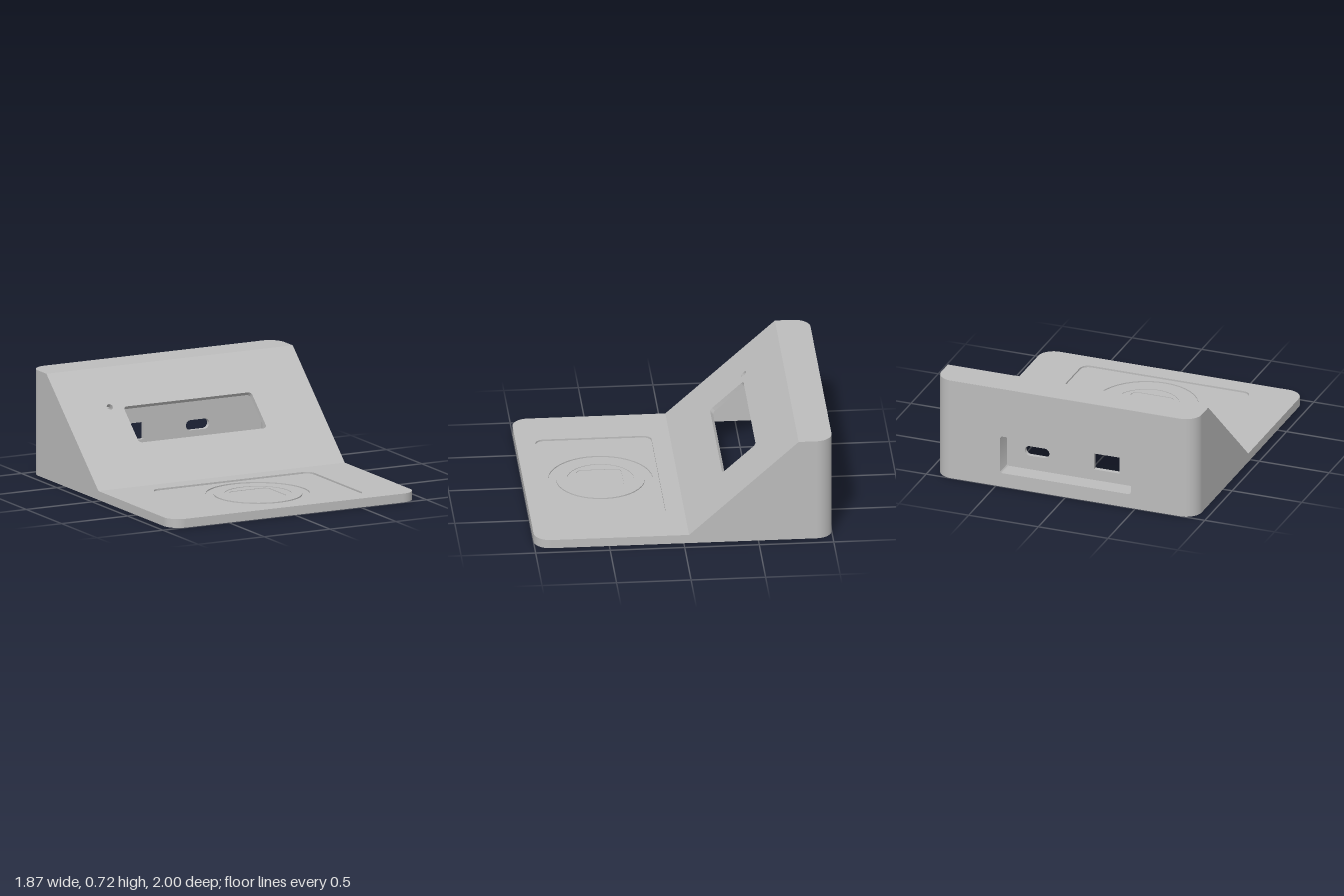
import * as THREE from 'three';
import { toCreasedNormals } from 'three/addons/utils/BufferGeometryUtils.js';

const W = 0.935, D = 1, R = 0.11, T = 0.03;      // half width, half depth, corner radius, wall
const DECK = 0.06, TOP = 0.72, FOLD = -0.035, RIDGE = -0.77;
const E = 0.001;                                  // keeps panels just inside the outer wall

// Rounded rectangle; rLow and rHigh are the radii of the lower and upper corners
function rect(x0, y0, x1, y1, rLow = 0, rHigh = rLow, Type = THREE.Shape) {
  const s = new Type();
  const corner = (x, y, r, a) => (r > 0 ? s.absarc(x, y, r, a, a + Math.PI / 2) : s.lineTo(x, y));
  s.moveTo(x0 + rLow, y0);
  corner(x1 - rLow, y0 + rLow, rLow, -Math.PI / 2);
  corner(x1 - rHigh, y1 - rHigh, rHigh, 0);
  corner(x0 + rHigh, y1 - rHigh, rHigh, Math.PI / 2);
  corner(x0 + rLow, y0 + rLow, rLow, Math.PI);
  s.closePath();
  return s;
}
const circle = (x, y, r, Type = THREE.Shape) => {
  const s = new Type();
  s.absarc(x, y, r, 0, Math.PI * 2);
  return s;
};
const withHoles = (shape, ...holes) => {
  shape.holes.push(...holes);
  return shape;
};
const extrude = (shape, depth) => toCreasedNormals(
  new THREE.ExtrudeGeometry(shape, { depth, bevelEnabled: false, curveSegments: 20 }), 0.5);

// Side and front wall: outer skin, inner skin and bottom rim swept round the outline
function wallGeometry() {
  const outline = [];
  const centres = [[1, -1], [1, 1], [-1, 1], [-1, -1]];
  centres.forEach(([sx, sz], k) => {
    for (let i = 0; i <= 12; i++) {
      const a = (k - 1 + i / 12) * Math.PI / 2;
      const nx = Math.cos(a), nz = Math.sin(a);
      outline.push([sx * (W - R) + nx * R, sz * (D - R) + nz * R, nx, nz]);
    }
    // Break the straight sides where the height changes
    if (k === 0) outline.push([W, RIDGE, 1, 0], [W, FOLD, 1, 0]);
    if (k === 2) outline.push([-W, FOLD, -1, 0], [-W, RIDGE, -1, 0]);
  });
  const height = z => THREE.MathUtils.clamp(
    DECK + (FOLD - z) / (FOLD - RIDGE) * (TOP - DECK), DECK, TOP);
  const pos = [], nor = [], idx = [];
  const strip = (rowA, rowB, normal) => {
    const base = pos.length / 3;
    outline.forEach((p, i) => {
      pos.push(...rowA(p), ...rowB(p));
      nor.push(...normal(p), ...normal(p));
      if (i === 0) return;
      const a = base + 2 * i - 2;
      idx.push(a, a + 1, a + 3, a, a + 3, a + 2);
    });
  };
  const outer = y => p => [p[0], y(p), p[1]];
  const inner = y => p => [p[0] - p[2] * T, y(p), p[1] - p[3] * T];
  const zero = () => 0, top = p => height(p[1]), under = p => height(p[1]) - 0.01;
  strip(outer(zero), outer(top), p => [p[2], 0, p[3]]);
  strip(inner(under), inner(zero), p => [-p[2], 0, -p[3]]);
  strip(inner(zero), outer(zero), () => [0, -1, 0]);
  const g = new THREE.BufferGeometry();
  g.setAttribute('position', new THREE.Float32BufferAttribute(pos, 3));
  g.setAttribute('normal', new THREE.Float32BufferAttribute(nor, 3));
  g.setIndex(idx);
  return g;
}

export function createModel() {
  const model = new THREE.Group();
  model.name = 'chargingStand';
  const grey = new THREE.MeshStandardMaterial({ color: 0xbcbcbc });
  grey.name = 'greyPlastic';

  const add = (name, geometry) => {
    const m = new THREE.Mesh(geometry, grey);
    m.name = name;
    model.add(m);
    return m;
  };
  // Horizontal slab; shape coordinates are (x, -z)
  const slab = (name, shape, y0, y1) => {
    const m = add(name, extrude(shape, y1 - y0));
    m.rotation.x = -Math.PI / 2;
    m.position.y = y0;
    return m;
  };
  // Upright panel facing z
  const panel = (name, shape, z0, z1) => {
    const m = add(name, extrude(shape, z1 - z0));
    m.position.z = z0;
    return m;
  };

  add('outerWall', wallGeometry()).material.side = THREE.DoubleSide;

  // Charging deck with a shallow tray
  const w = W - E, d = D - E;
  const tray = Type => rect(-0.605, -0.87, 0.605, -0.09, 0.06, 0.06, Type);
  slab('deck', withHoles(rect(-w, -d, w, 0.06, R, 0), tray(THREE.Path)), 0.025, DECK);
  slab('trayBase', tray(THREE.Shape), 0.025, 0.04);
  const cz = -0.48;
  slab('trayFloor', withHoles(tray(THREE.Shape), circle(0, cz, 0.35, THREE.Path)), 0.04, 0.048);
  slab('coilRing', withHoles(circle(0, cz, 0.297), circle(0, cz, 0.225, THREE.Path)), 0.04, 0.048);
  slab('coilCentre', withHoles(circle(0, cz, 0.225),
    rect(-0.15, cz - 0.15, 0.15, cz + 0.15, 0.04, 0.04, THREE.Path)), 0.04, 0.044);

  // Roof strip behind the slope
  slab('roof', rect(-w, -RIDGE, w, d, 0, R), TOP - T, TOP);

  // Sloping face with display window and sensor hole
  const rise = TOP - DECK, run = FOLD - RIDGE, angle = Math.atan2(rise, run);
  const slope = add('slopingFace', extrude(withHoles(
    rect(-w, 0, w, Math.hypot(rise, run)),
    rect(-0.485, 0.35, 0.485, 0.652, 0.025, 0.025, THREE.Path),
    circle(-0.582, 0.664, 0.022, THREE.Path)), T));
  slope.rotation.x = angle - Math.PI / 2 - (2 * angle - Math.PI / 2) + 0;
  slope.rotation.x = -Math.atan2(run, rise);
  slope.position.set(0, DECK - Math.cos(angle) * T, FOLD - Math.sin(angle) * T);

  // Back wall with the connector pocket
  const opening = () => rect(-0.47, 0.1, 0.47, 0.37, 0.02, 0.02, THREE.Path);
  const pocket = () => rect(-0.5, 0.065, 0.5, 0.42, 0.04);
  panel('backWall', withHoles(rect(R - W, 0, W - R, TOP - E), opening()), -D, T - D);
  panel('pocketFrame', withHoles(pocket(), opening()), -0.998, -0.875);
  panel('portPlate', withHoles(pocket(),
    rect(-0.34, 0.178, -0.155, 0.295, 0, 0, THREE.Path),
    rect(0.165, 0.2, 0.34, 0.27, 0.034, 0.034, THREE.Path)), -0.875, -0.845);

  // Screw posts in the four corners
  for (const sx of [-1, 1]) for (const sz of [-1, 1]) {
    const x = sx * 0.85, y = -sz * 0.915;
    slab(sz > 0 ? 'frontScrewBoss' : 'backScrewPost',
      withHoles(circle(x, y, 0.065), circle(x, y, 0.022, THREE.Path)),
      0.005, sz > 0 ? 0.028 : TOP - T + E);
  }
  return model;
}
